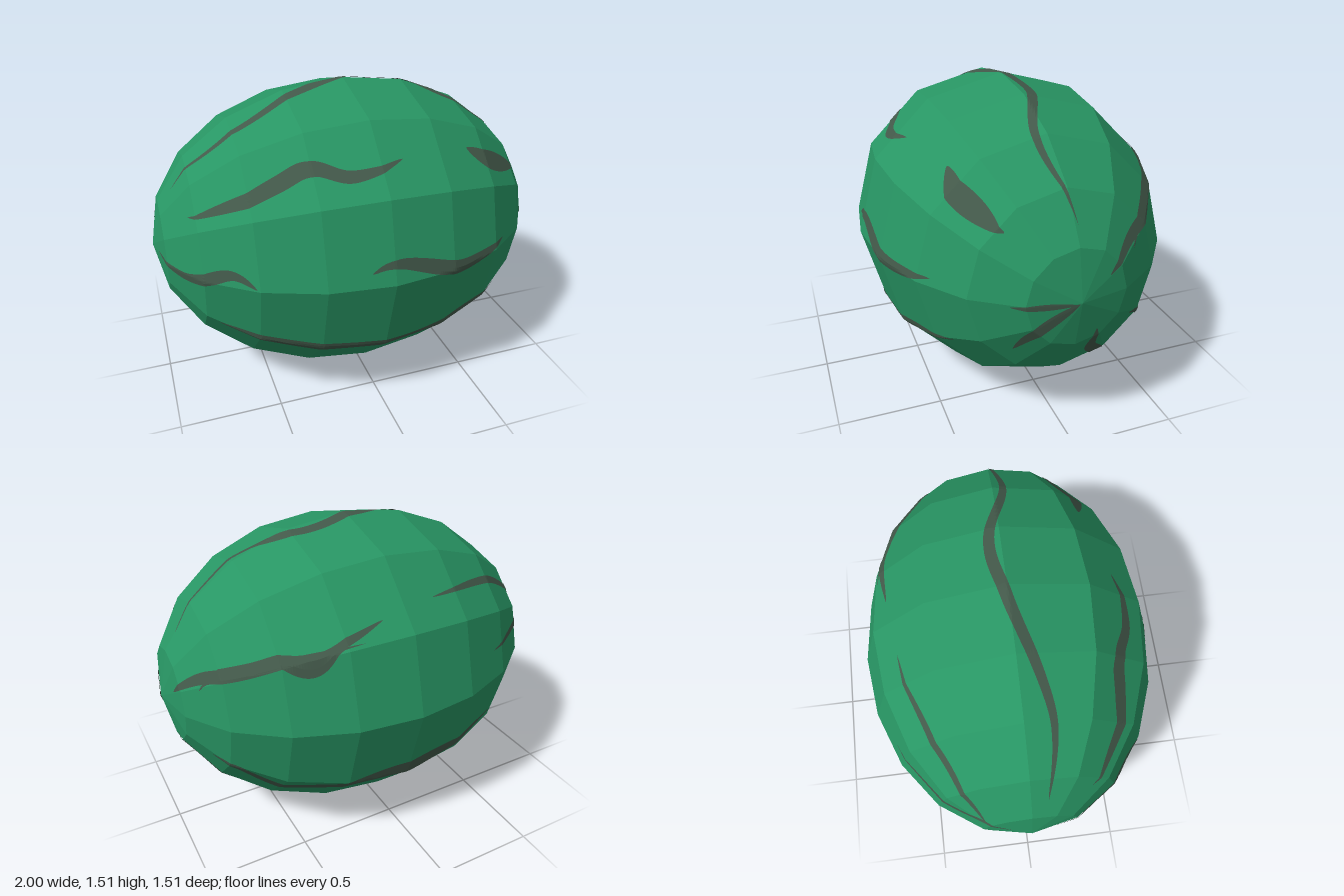
import * as THREE from 'three';

const RADIUS = 0.755;
const V = (x, y, z) => new THREE.Vector3(x, y, z);
const X = V(1, 0, 0), Y = V(0, 1, 0), Z = V(0, 0, 1);

// A drawing plane: right and up axes, plus the direction it faces
function plane(right, up) {
  return { right, up, dir: right.clone().cross(up) };
}

// A drawing plane turned around the melon (degrees)
function turnedPlane(azimuth, elevation) {
  const a = THREE.MathUtils.degToRad(azimuth), e = THREE.MathUtils.degToRad(elevation);
  const dir = V(Math.sin(a) * Math.cos(e), Math.sin(e), Math.cos(a) * Math.cos(e));
  const right = Y.clone().cross(dir).normalize();
  return { right, up: dir.clone().cross(right), dir };
}

const FRONT = plane(X, Y);
const END = plane(Z.clone().negate(), Y);
const TOP = plane(X, Z.clone().negate());
const BOTTOM = plane(X, Z);
const BACK = turnedPlane(215, 25);
const UNDER = turnedPlane(140, -30);

// Flat planes of every face of the faceted body
function facePlanes(geometry) {
  const p = geometry.toNonIndexed().attributes.position;
  const corner = (i) => new THREE.Vector3().fromBufferAttribute(p, i);
  const planes = [];
  for (let i = 0; i < p.count; i += 3) {
    planes.push(new THREE.Plane().setFromCoplanarPoints(corner(i), corner(i + 1), corner(i + 2)));
  }
  return planes;
}

// Lay a point of a drawing plane just above the faceted skin
function ontoSkin(planes, view, u, v) {
  const p = view.right.clone().multiplyScalar(u).addScaledVector(view.up, v);
  let t = Infinity;
  for (const { normal, constant } of planes) {
    const facing = normal.dot(view.dir);
    if (facing > 1e-4) t = Math.min(t, (0.004 - constant - normal.dot(p)) / facing);
  }
  return p.addScaledVector(view.dir, t);
}

// Thin ribbon along a wavy centre line, tapering to a point at both ends
function stripeGeometry(planes, view, width, points) {
  const along = 72, across = 4;
  const line = new THREE.SplineCurve(points.map(([u, v]) => new THREE.Vector2(u, v)));
  const positions = [], index = [];
  for (let i = 0; i <= along; i++) {
    const t = i / along;
    const centre = line.getPointAt(t), tangent = line.getTangentAt(t);
    const w = width * Math.max(0, Math.sin(Math.PI * t)) ** 0.7;
    for (let j = 0; j <= across; j++) {
      const s = w * (j / across - 0.5);
      positions.push(...ontoSkin(planes, view, centre.x - tangent.y * s, centre.y + tangent.x * s));
      if (i < along && j < across) {
        const k = i * (across + 1) + j, n = k + across + 1;
        index.push(k, n, k + 1, k + 1, n, n + 1);
      }
    }
  }
  const geometry = new THREE.BufferGeometry();
  geometry.setAttribute('position', new THREE.Float32BufferAttribute(positions, 3));
  geometry.setIndex(index);
  geometry.computeVertexNormals();
  return geometry;
}

export function createModel() {
  const rind = new THREE.MeshStandardMaterial({ color: 0x289664, flatShading: true });
  rind.name = 'rind green';
  const dark = new THREE.MeshStandardMaterial({ color: 0x43594a, flatShading: true, side: THREE.DoubleSide });
  dark.name = 'stripe dark green';

  const model = new THREE.Group();
  model.name = 'melon';

  // Faceted body, lying along x
  const bodyGeometry = new THREE.SphereGeometry(1, 12, 10).scale(RADIUS, 1, RADIUS).rotateZ(-Math.PI / 2);
  const body = new THREE.Mesh(bodyGeometry, rind);
  body.name = 'rind';
  body.position.y = RADIUS;
  model.add(body);

  const planes = facePlanes(bodyGeometry);
  function addStripe(name, view, width, ...points) {
    const stripe = new THREE.Mesh(stripeGeometry(planes, view, width, points), dark);
    stripe.name = name;
    stripe.position.y = RADIUS;
    model.add(stripe);
  }

  // Front stripes
  addStripe('frontUpperStripe', FRONT, 0.055, [-.84, .26], [-.47, .435], [-.31, .50], [-.14, .465], [.11, .505]);
  addStripe('frontSideStripe', FRONT, 0.055, [-.98, .02], [-.87, -.015], [-.70, .055], [-.60, .01]);
  addStripe('frontMiddleStripe', FRONT, 0.07, [-.11, .067], [.03, .095], [.36, .005], [.65, .037]);
  addStripe('frontShoulderStripe', FRONT, 0.07, [.48, .477], [.63, .39], [.83, .29]);
  addStripe('frontLowerStripe', FRONT, 0.075, [-.76, -.245], [-.34, -.36], [.10, -.40], [.45, -.325], [.68, -.28]);

  // Stripes on the left end
  addStripe('endLowerStripe', END, 0.065, [.095, -.165], [.11, -.31], [.20, -.43], [.20, -.595]);
  addStripe('endHookBar', END, 0.03, [-.29, -.008], [-.02, -.005]);
  addStripe('endHookLeg', END, 0.055, [-.01, 0], [-.185, -.14], [-.255, -.255]);
  addStripe('backShoulderStripeEnd', END, 0.06, [.14, .09], [.27, .20], [.43, .27], [.62, .38]);

  // Stripes over the top and back
  addStripe('backShoulderStripe', TOP, 0.04, [.12, .573], [.41, .588], [.66, .465], [.89, .29]);
  addStripe('topStripe', TOP, 0.055, [-.89, -.08], [-.56, -.13], [-.06, .005], [.25, .053], [.59, -.052], [.90, .012]);
  addStripe('backUpperStripe', BACK, 0.04, [-.17, .207], [.25, .107], [.50, -.035], [.65, -.18]);
  addStripe('backMiddleStripe', BACK, 0.032, [.07, -.207], [.455, -.21], [.615, -.17], [.75, -.205]);
  addStripe('backLowerStripe', UNDER, 0.095, [-.47, .235], [-.34, .195], [-.13, .01], [.37, -.03], [.80, -.195]);

  // Stripes underneath
  addStripe('bottomThinStripe', BOTTOM, 0.045, [.03, .14], [-.2, .155], [-.39, .18]);
  addStripe('bottomWideStripe', BOTTOM, 0.09, [-.15, -.095], [-.4, -.07], [-.7, .02]);
  return model;
}
